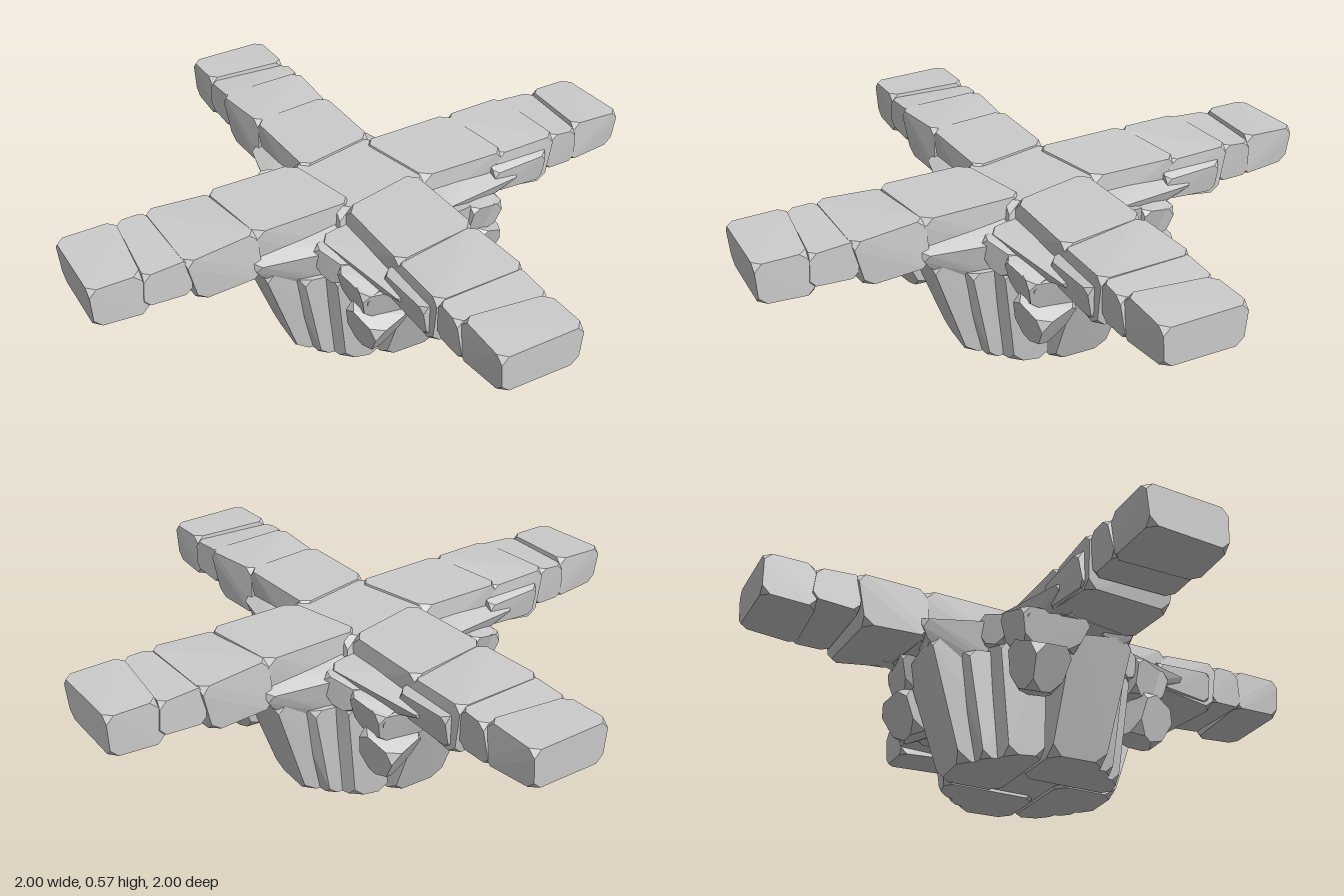
import * as THREE from 'three';
import { ConvexGeometry } from 'three/addons/geometries/ConvexGeometry.js';

const stone = new THREE.MeshStandardMaterial({ color: 0xcccccc, flatShading: true });

// Hewn stone: eight corners, each cut back along its three edges by c.
// Corners run inner-right, inner-left, outer-left, outer-right as [x, y, z]; bottom four first.
function hewn(bottom, top, c) {
  const p = [...bottom, ...top].map(v => new THREE.Vector3(...v));
  const points = [];
  for (let i = 0; i < 8; i++) {
    const base = i < 4 ? 0 : 4, k = i % 4;
    for (const j of [base + (k + 1) % 4, base + (k + 3) % 4, (i + 4) % 8]) {
      const edge = p[j].clone().sub(p[i]);
      const cut = Math.min(c, edge.length() * 0.4);
      points.push(p[i].clone().addScaledVector(edge.normalize(), cut));
    }
  }
  return new ConvexGeometry(points);
}

// Irregular boulder: a tilted hewn box that tapers toward its foot.
function boulder([x, y, z], [w, h, d], [rx, ry, rz], taper = 0.7) {
  const ring = (s, yy) => [[1, -1], [-1, -1], [-1, 1], [1, 1]].map(
    ([a, b], i) => [a * w / 2 * s, yy + (i % 2 ? 0.008 : -0.008), b * d / 2 * s]);
  const g = hewn(ring(taper, -h / 2), ring(1, h / 2), Math.min(w, h, d) * 0.25);
  g.rotateX(rx);
  g.rotateY(ry);
  g.rotateZ(rz);
  g.translate(x, y, z);
  return g;
}

// One quarter of the crossing, with its arm reaching toward +z.
const quarter = {
  endBlock: hewn(
    [[0.145, 0.41, 0.82], [-0.14, 0.42, 0.80], [-0.13, 0.43, 0.995], [0.14, 0.42, 0.995]],
    [[0.145, 0.56, 0.835], [-0.14, 0.57, 0.805], [-0.145, 0.565, 1], [0.145, 0.56, 1]], 0.025),
  narrowBlock: hewn(
    [[0.15, 0.43, 0.68], [-0.14, 0.42, 0.69], [-0.14, 0.42, 0.82], [0.15, 0.44, 0.84]],
    [[0.15, 0.56, 0.68], [-0.15, 0.56, 0.70], [-0.155, 0.555, 0.80], [0.15, 0.55, 0.83]], 0.022),
  middleBlock: hewn(
    [[0.15, 0.40, 0.44], [-0.15, 0.42, 0.45], [-0.15, 0.385, 0.68], [0.15, 0.39, 0.66]],
    [[0.145, 0.57, 0.45], [-0.145, 0.555, 0.47], [-0.155, 0.565, 0.705], [0.165, 0.56, 0.70]], 0.028),
  middleSpall: hewn(
    [[-0.10, 0.41, 0.45], [-0.165, 0.42, 0.46], [-0.155, 0.40, 0.66], [-0.10, 0.40, 0.67]],
    [[-0.10, 0.54, 0.45], [-0.175, 0.50, 0.44], [-0.175, 0.51, 0.66], [-0.10, 0.54, 0.68]], 0.02),
  innerBlock: hewn(
    [[0.15, 0.38, 0.12], [-0.15, 0.38, 0.15], [-0.13, 0.41, 0.47], [0.13, 0.40, 0.45]],
    [[0.145, 0.57, 0.11], [-0.145, 0.568, 0.17], [-0.15, 0.566, 0.49], [0.15, 0.57, 0.455]], 0.03),
  // Wedges that brace the arm on its two sides.
  rightBrace: hewn(
    [[0.20, 0.30, 0.18], [0.04, 0.30, 0.18], [0.05, 0.37, 0.42], [0.14, 0.37, 0.43]],
    [[0.25, 0.47, 0.17], [0.05, 0.53, 0.18], [0.05, 0.50, 0.48], [0.165, 0.45, 0.48]], 0.03),
  leftBrace: hewn(
    [[-0.04, 0.34, 0.16], [-0.19, 0.34, 0.17], [-0.15, 0.39, 0.40], [-0.04, 0.39, 0.40]],
    [[-0.04, 0.52, 0.16], [-0.25, 0.49, 0.17], [-0.175, 0.46, 0.56], [-0.04, 0.52, 0.50]], 0.03),
  // Leaning slabs around the pier.
  frontSlab: hewn(
    [[0.15, 0, 0.08], [-0.07, 0, 0.08], [-0.07, 0, 0.295], [0.12, 0, 0.305]],
    [[0.19, 0.40, 0.10], [-0.07, 0.40, 0.10], [-0.06, 0.37, 0.43], [0.16, 0.40, 0.44]], 0.035),
  cornerSlab: hewn(
    [[0.27, 0, 0.08], [0.08, 0, 0.08], [0.10, 0, 0.23], [0.24, 0, 0.19]],
    [[0.32, 0.40, 0.10], [0.08, 0.42, 0.08], [0.12, 0.40, 0.27], [0.27, 0.38, 0.24]], 0.03),
  splitSlab: hewn(
    [[0.20, 0, 0.10], [0.07, 0, 0.10], [0.09, 0, 0.26], [0.18, 0, 0.25]],
    [[0.24, 0.36, 0.10], [0.07, 0.38, 0.10], [0.10, 0.34, 0.35], [0.20, 0.36, 0.32]], 0.025),
  // Loose stones wedged beneath the arm.
  lowerBoulder: boulder([-0.155, 0.25, 0.365], [0.16, 0.15, 0.15], [0.35, 0.25, 0.1]),
  upperBoulder: boulder([-0.12, 0.37, 0.37], [0.24, 0.11, 0.16], [0.1, -0.15, -0.12]),
  sideBoulder: boulder([-0.19, 0.385, 0.35], [0.10, 0.12, 0.15], [0.2, 0.2, 0.15]),
  cornerBoulder: boulder([-0.215, 0.42, 0.225], [0.12, 0.10, 0.13], [0.15, 0.5, -0.1]),
};

export function createModel() {
  const model = new THREE.Group();
  model.name = 'stoneCrossing';
  const add = (parent, name, geometry) => {
    const mesh = new THREE.Mesh(geometry, stone);
    mesh.name = name;
    parent.add(mesh);
  };

  // Hidden core of the pier and the paving over the middle.
  const square = (r, y) => [[r, y, -r], [-r, y, -r], [-r, y, r], [r, y, r]];
  add(model, 'pierCore', hewn(square(0.17, 0.01), square(0.20, 0.45), 0.04));
  add(model, 'centrePaving', hewn(square(0.18, 0.40), square(0.165, 0.562), 0.04));

  // Four equal quarters turned about the middle.
  for (let k = 0; k < 4; k++) {
    const arm = new THREE.Group();
    arm.name = ['frontArm', 'leftArm', 'backArm', 'rightArm'][k];
    arm.rotation.y = k * Math.PI / 2;
    for (const [name, geometry] of Object.entries(quarter)) add(arm, name, geometry);
    model.add(arm);
  }
  return model;
}
